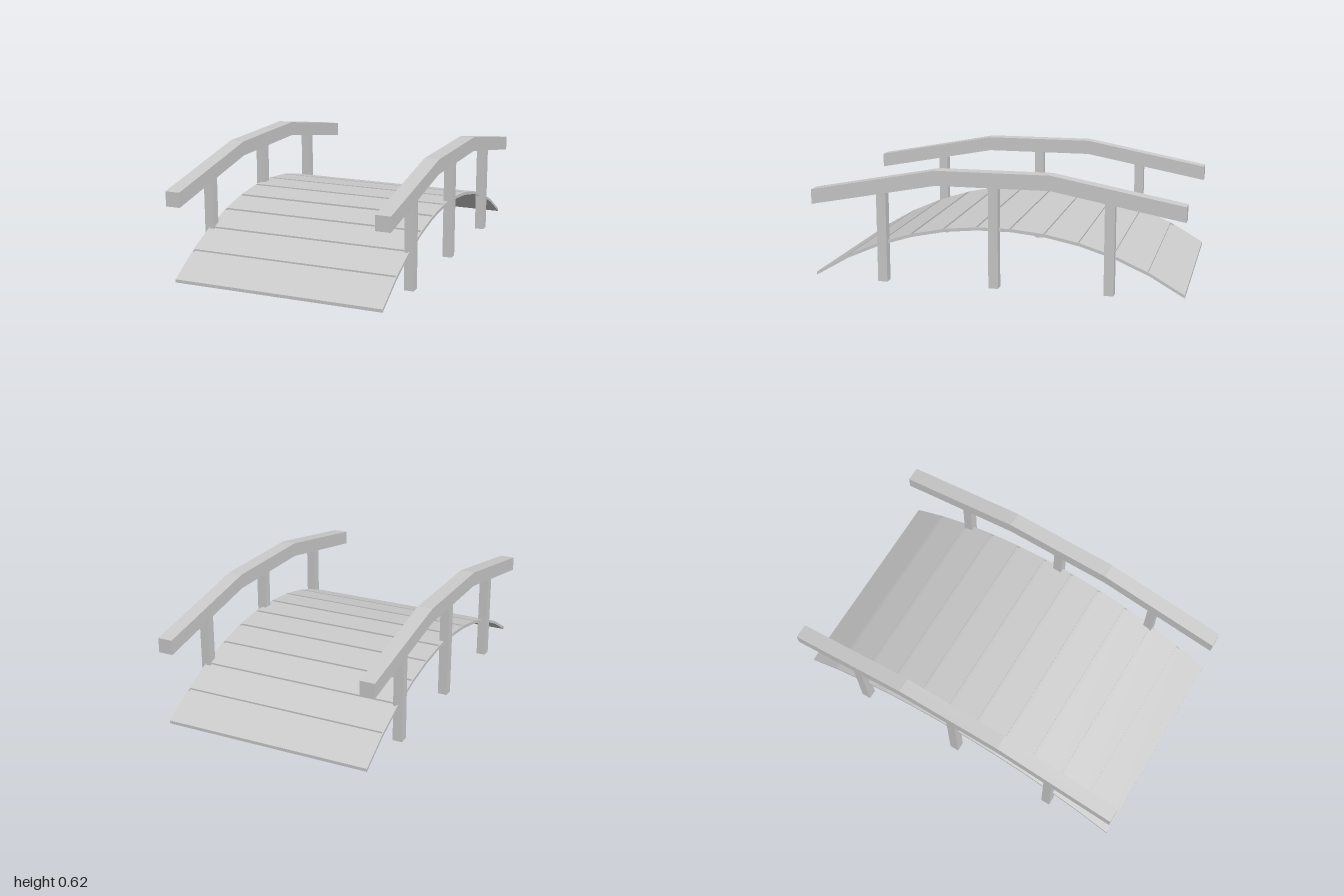
import * as THREE from 'three';

const material = new THREE.MeshStandardMaterial({ color: 0xcccccc, flatShading: true });

// Extrudes a (z, y) side profile across x, centred on x
function extrudeAcross(points, width, x, name) {
  const shape = new THREE.Shape(points.map(([z, y]) => new THREE.Vector2(z, y)));
  const geometry = new THREE.ExtrudeGeometry(shape, { depth: width, bevelEnabled: false });
  geometry.translate(0, 0, -width / 2);
  geometry.rotateY(-Math.PI / 2);
  const mesh = new THREE.Mesh(geometry, material);
  mesh.position.x = x;
  mesh.name = name;
  return mesh;
}

// Arched deck: circular arc split into straight planks of equal length in z
const PLANKS = 11, RADIUS = 1.817, TOP = 0.323, THICKNESS = 0.017;
const GROOVE_HALF = 0.01, GROOVE_DEPTH = 0.009;
const arcY = (z) => TOP - RADIUS + Math.sqrt(RADIUS * RADIUS - z * z);
const joints = Array.from({ length: PLANKS + 1 }, (_, i) => -1 + (2 * i) / PLANKS);

function deckY(z) {
  const i = Math.min(PLANKS - 1, Math.max(0, Math.floor(((z + 1) * PLANKS) / 2)));
  const t = (z - joints[i]) / (joints[i + 1] - joints[i]);
  return THREE.MathUtils.lerp(arcY(joints[i]), arcY(joints[i + 1]), t);
}

function deckProfile(grooved) {
  const top = [];
  joints.forEach((z, i) => {
    const y = arcY(z);
    if (!grooved || i === 0 || i === PLANKS) {
      top.push([z, y]);
      return;
    }
    const a = z - GROOVE_HALF, b = z + GROOVE_HALF;
    top.push([a, deckY(a)], [a, deckY(a) - GROOVE_DEPTH]);
    top.push([b, deckY(b) - GROOVE_DEPTH], [b, deckY(b)]);
  });
  const bottom = joints.map((z) => [z, Math.max(0, arcY(z) - THICKNESS)]).reverse();
  return [...top, ...bottom];
}

export function createModel() {
  const bridge = new THREE.Group();
  bridge.name = 'footbridge';

  // Grooved plank deck with thin plain edges
  bridge.add(extrudeAcross(deckProfile(true), 1.14, 0, 'plankDeck'));

  // Handrail side profile
  const rail = [
    [-1, 0.41], [-0.305, 0.54], [0.305, 0.54], [1, 0.41],
    [1, 0.49], [0.305, 0.62], [-0.305, 0.62], [-1, 0.49],
  ];

  for (const side of [1, -1]) {
    const label = side > 0 ? 'left' : 'right';
    bridge.add(extrudeAcross(deckProfile(false), 0.006, side * 0.573, label + 'DeckEdge'));
    bridge.add(extrudeAcross(rail, 0.081, side * 0.5745, label + 'Handrail'));

    // Three posts, the outer ones shorter and cut to the rail slope
    for (const z of [-0.612, 0, 0.612]) {
      const h = 0.026;
      const under = (p) => 0.545 - Math.max(0, Math.abs(p) - 0.305) * 0.187;
      const profile = [[z - h, 0], [z + h, 0], [z + h, under(z + h)], [z - h, under(z - h)]];
      bridge.add(extrudeAcross(profile, 0.052, side * 0.5755, label + 'Post'));
    }
  }
  return bridge;
}
